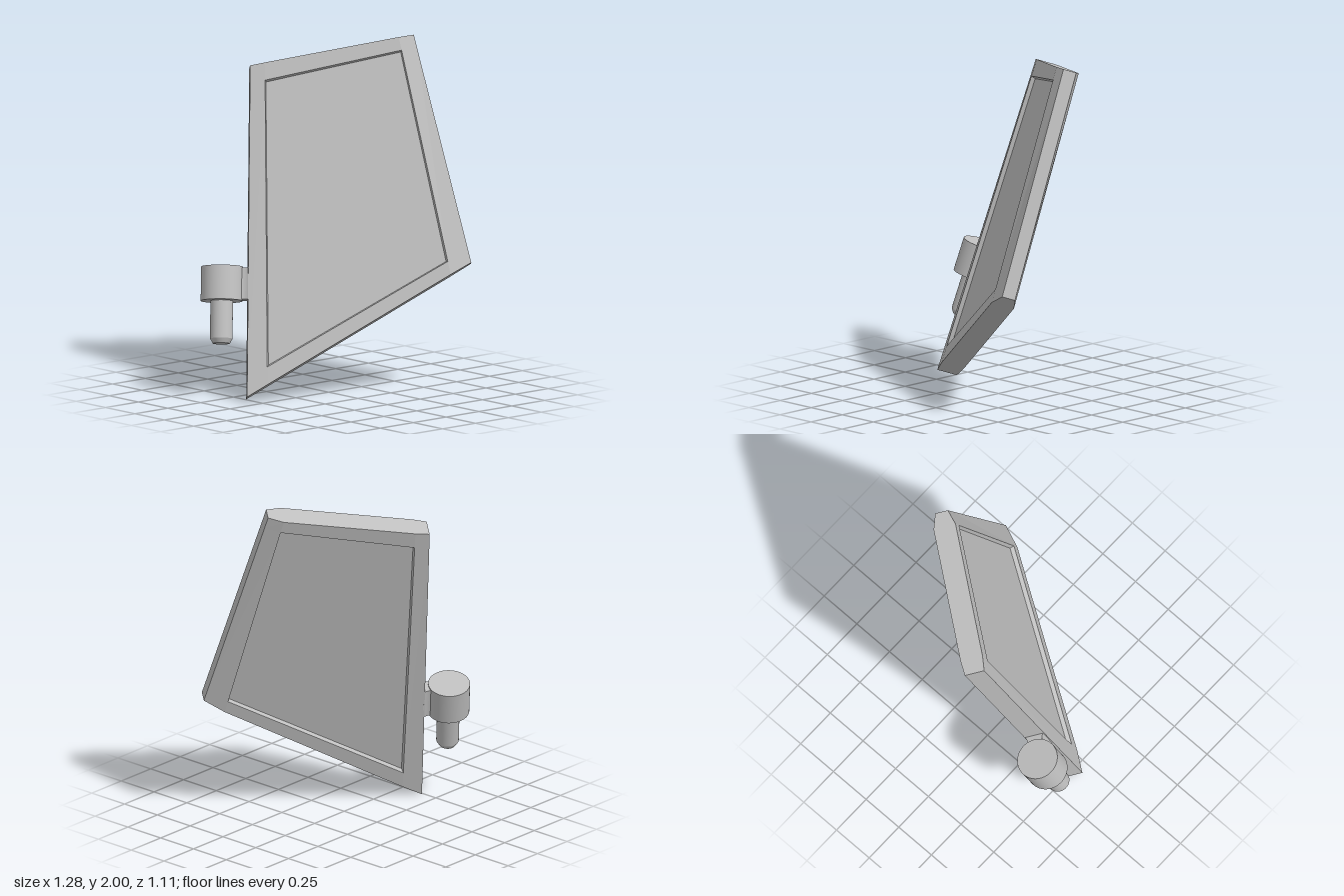
import * as THREE from 'three';

const V = (x, y, z) => new THREE.Vector3(x, y, z);

// Mid-plane corners of the tilted plate: hinge side low, free side low, free side high, hinge side high
const M1 = V(-0.525, 0.02, -0.11), M2 = V(0.612, 0.745, 0.527);
const M3 = V(0.612, 1.99, 0.037), M4 = V(-0.14, 1.828, -0.515);
const up = M4.clone().sub(M1).normalize();
const normal = M2.clone().sub(M1).cross(up).normalize();
const across = up.clone().cross(normal);

// Point on the plate: s across, t upwards, h out of the mid-plane
function at(s, t, h) {
  const low = M1.clone().lerp(M2, s), high = M4.clone().lerp(M3, s);
  return low.lerp(high, t).addScaledVector(normal, h);
}

function quadGeometry(quads) {
  const pos = [];
  for (const [a, b, c, d] of quads) for (const p of [a, b, c, a, c, d]) pos.push(p.x, p.y, p.z);
  const g = new THREE.BufferGeometry();
  g.setAttribute('position', new THREE.Float32BufferAttribute(pos, 3));
  g.computeVertexNormals();
  return g;
}

const S = [0, 0.09, 0.907, 1], T = [0, 0.055, 0.945, 1];
const H = [0.058, 0.066, 0.066, 0.038]; // half thickness at each column

function frameGeometry() {
  const quads = [];
  const p = (i, j, side) => at(S[i], T[j], side * H[i]);
  // Broad borders on both sides, leaving the middle open
  for (const side of [1, -1]) {
    for (let i = 0; i < 3; i++) for (let j = 0; j < 3; j++) {
      if (i === 1 && j === 1) continue;
      const q = [p(i, j, side), p(i + 1, j, side), p(i + 1, j + 1, side), p(i, j + 1, side)];
      quads.push(side > 0 ? q : q.reverse());
    }
  }
  // Narrow outer edges
  for (let i = 0; i < 3; i++) {
    quads.push([p(i, 0, 1), p(i, 0, -1), p(i + 1, 0, -1), p(i + 1, 0, 1)]);
    quads.push([p(i, 3, 1), p(i + 1, 3, 1), p(i + 1, 3, -1), p(i, 3, -1)]);
    quads.push([p(0, i, 1), p(0, i + 1, 1), p(0, i + 1, -1), p(0, i, -1)]);
    quads.push([p(3, i, 1), p(3, i, -1), p(3, i + 1, -1), p(3, i + 1, 1)]);
  }
  return quadGeometry(quads);
}

// Sunken panel: four short sloping walls and a floor
function panelGeometry(side) {
  const ring = (ds, dt, h) => [[S[1] + ds, T[1] + dt], [S[2] - ds, T[1] + dt],
    [S[2] - ds, T[2] - dt], [S[1] + ds, T[2] - dt]].map(([s, t]) => at(s, t, side * h));
  const rim = ring(0, 0, H[1]), floor = ring(0.006, 0.005, H[1] - 0.024);
  const quads = [floor];
  for (let k = 0; k < 4; k++) {
    const n = (k + 1) % 4;
    quads.push([rim[k], rim[n], floor[n], floor[k]]);
  }
  return quadGeometry(side > 0 ? quads : quads.map(q => q.slice().reverse()));
}

export function createModel() {
  const model = new THREE.Group();
  model.name = 'hingedPlate';
  const grey = new THREE.MeshStandardMaterial({ color: 0xbfbfbf });
  grey.name = 'light grey';
  const add = (parent, geometry, name, y = 0) => {
    const mesh = new THREE.Mesh(geometry, grey);
    mesh.name = name;
    mesh.position.y = y;
    parent.add(mesh);
    return mesh;
  };

  add(model, frameGeometry(), 'plateFrame');
  add(model, panelGeometry(1), 'frontPanel');
  add(model, panelGeometry(-1), 'backPanel');

  // Hinge, in the plate's own axes
  const hinge = new THREE.Group();
  hinge.name = 'hinge';
  hinge.quaternion.setFromRotationMatrix(new THREE.Matrix4().makeBasis(across, up, normal));
  hinge.position.set(-0.485, 0.737, -0.365);
  model.add(hinge);

  add(hinge, new THREE.CylinderGeometry(0.119, 0.119, 0.195, 48), 'hingeHead', -0.0975);
  add(hinge, new THREE.CylinderGeometry(0.064, 0.064, 0.23, 32), 'hingePin', -0.295);
  add(hinge, new THREE.CylinderGeometry(0.064, 0.048, 0.028, 32), 'hingePinTip', -0.424);

  // Arm flaring into the plate edge
  const arm = new THREE.Shape();
  arm.moveTo(0.05, -0.045);
  arm.lineTo(0.115, -0.042);
  arm.quadraticCurveTo(0.135, -0.044, 0.152, -0.057);
  arm.lineTo(0.152, 0.057);
  arm.quadraticCurveTo(0.135, 0.044, 0.115, 0.042);
  arm.lineTo(0.05, 0.045);
  const armGeometry = new THREE.ExtrudeGeometry(arm, { depth: 0.18, bevelEnabled: false, curveSegments: 6 });
  armGeometry.rotateX(Math.PI / 2);
  add(hinge, armGeometry, 'hingeArm', -0.008);

  return model;
}
